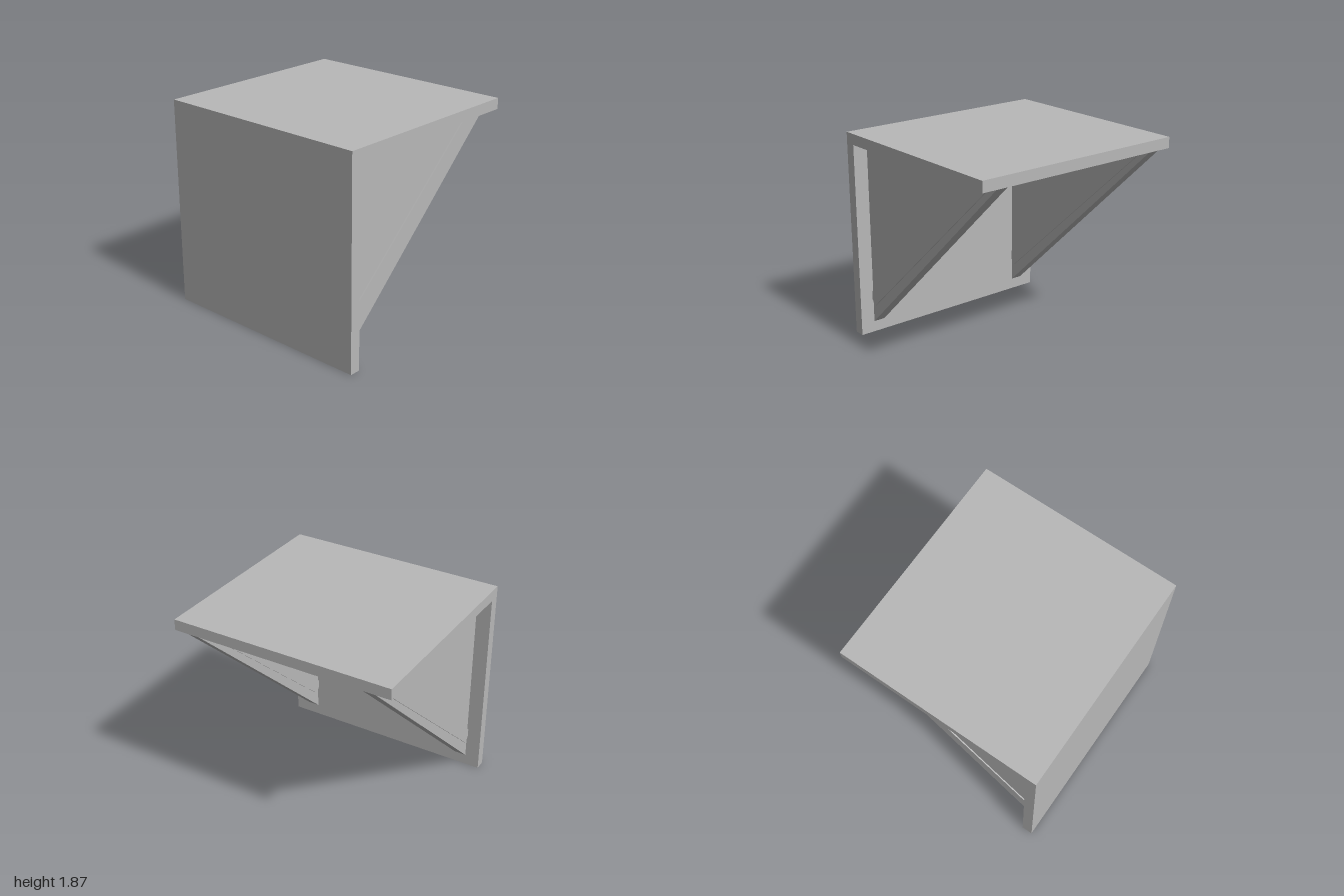
import * as THREE from 'three';

export function createModel() {
  const model = new THREE.Group();
  const grey = new THREE.MeshStandardMaterial({ color: 0xb8b8b8 });
  grey.name = 'plain grey';

  // Extrude a side outline along z, centred on the given z
  function slab(name, points, thickness, z) {
    const shape = new THREE.Shape(points.map(([x, y]) => new THREE.Vector2(x, y)));
    const geometry = new THREE.ExtrudeGeometry(shape, { depth: thickness, bevelEnabled: false });
    geometry.translate(0, 0, z - thickness / 2);
    const mesh = new THREE.Mesh(geometry, grey);
    mesh.name = name;
    model.add(mesh);
  }

  const half = 0.935, inner = -0.838, top = 1.872, under = 1.775;

  // Wall panel and top shelf in one L-shaped section
  slab('wallPanelAndShelf', [
    [-half, 0], [inner, 0], [inner, under], [half, under], [half, top], [-half, top],
  ], 2, 0);

  // Triangular gussets, each with a diagonal brace standing proud on both faces
  for (const [side, z] of [['front', 0.813], ['back', -0.813]]) {
    slab(side + 'Gusset', [[inner, 0.1], [half, under], [inner, under]], 0.106, z);
    slab(side + 'Brace', [
      [inner, 0.32], [-0.795, 0.27], [0.81, 1.725], [0.77, under], [0.68, under], [inner, 0.395],
    ], 0.126, z);
  }

  return model;
}
